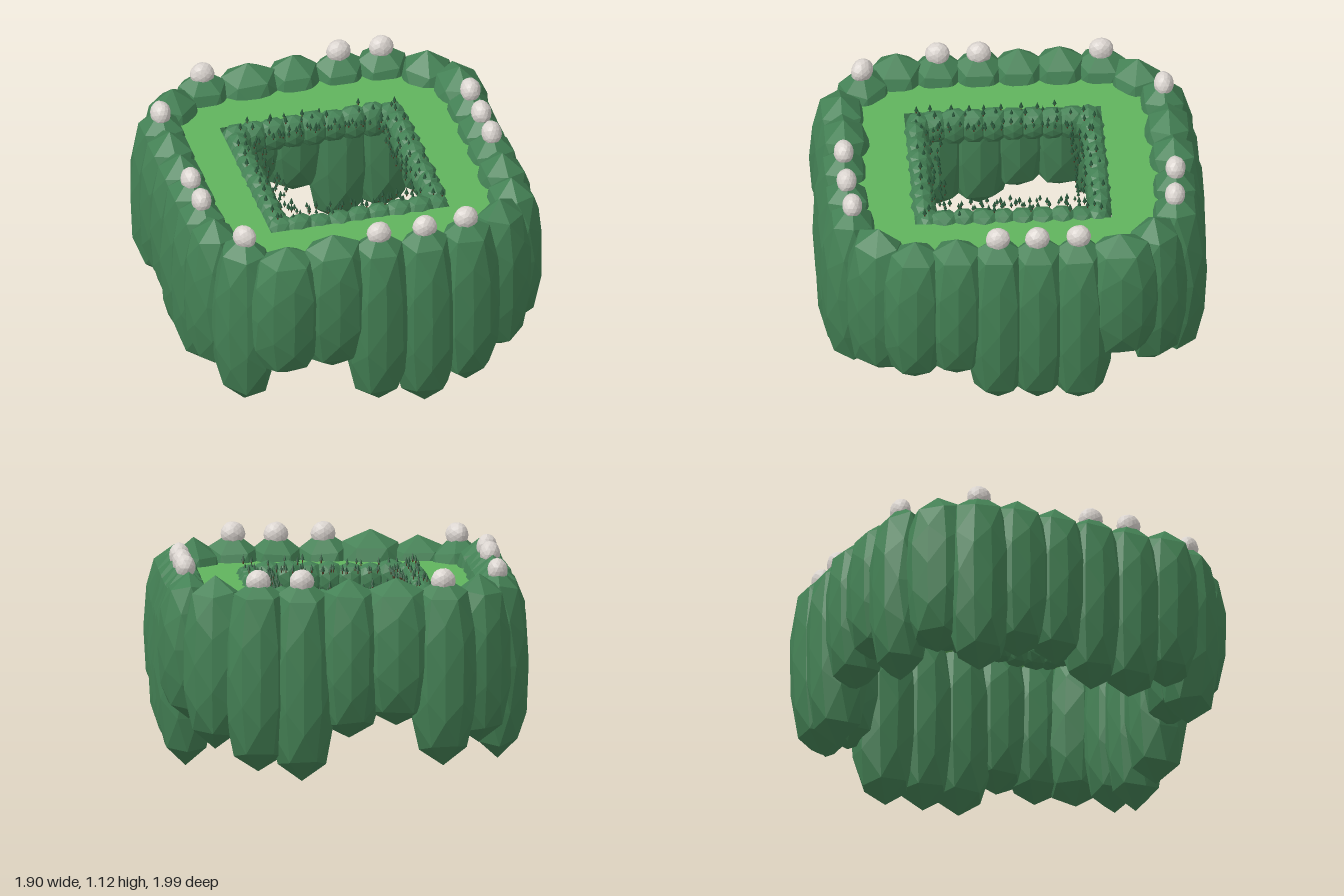
import * as THREE from 'three';
import { mergeGeometries } from 'three/addons/utils/BufferGeometryUtils.js';

let seed = 7;
const rand = () => {
  seed = (seed * 16807) % 2147483647;
  return seed / 2147483647;
};
const between = (a, b) => a + (b - a) * rand();

const mat = (name, color, extra = {}) => {
  const m = new THREE.MeshStandardMaterial({ color, flatShading: true, ...extra });
  m.name = name;
  return m;
};

// Faceted ellipsoid, roughened evenly across shared corners; fullness below 1 broadens its shoulders
function rock(rx, ry, rz, detail, rough, salt, fullness = 1) {
  const geo = new THREE.IcosahedronGeometry(1, detail);
  const p = geo.attributes.position;
  const v = new THREE.Vector3();
  for (let i = 0; i < p.count; i++) {
    v.fromBufferAttribute(p, i);
    const [a, b, c] = v.toArray().map((n) => Math.round(n * 100));
    const h = Math.sin(a * 12.99 + b * 78.23 + c * 37.72 + salt * 9.17) * 437.58;
    const flat = Math.hypot(v.x, v.z);
    const pull = 1 - rough * (h - Math.floor(h));
    const widen = flat > 0.01 ? pull * Math.pow(flat, fullness - 1) : 1;
    p.setXYZ(i, v.x * widen * rx, v.y * (flat > 0.01 ? pull : 1) * ry, v.z * widen * rz);
  }
  geo.computeVertexNormals();
  return geo;
}

export function createModel() {
  seed = 7;
  const group = new THREE.Group();
  const mountainGreen = mat('mountain green', 0x448155);
  const meadowGreen = mat('meadow green', 0x61b45d, { side: THREE.DoubleSide });
  const snowWhite = mat('snow white', 0xdad4cf);
  const treeGreen = mat('tree green', 0x29573a);
  const trunkBrown = mat('trunk brown', 0x4f3a26);

  const add = (name, geo, material, x = 0, y = 0, z = 0, yaw = 0) => {
    const m = new THREE.Mesh(geo, material);
    m.name = name;
    m.position.set(x, y, z);
    m.rotation.y = yaw;
    group.add(m);
  };

  // Outer mountains: x, z, lowest point, snow cap
  const mountains = [
    [-0.48, 0.82, 0.28, 0], [-0.24, 0.82, 0.28, 0], [0, 0.835, 0.05, 1], [0.24, 0.835, 0, 1], [0.46, 0.82, 0.08, 1],
    [0.67, 0.70, 0.18, 0],
    [0.78, 0.52, 0.20, 0], [0.79, 0.31, 0.22, 0], [0.79, 0.10, 0.06, 1], [0.79, -0.10, 0.05, 1],
    [0.79, -0.31, 0.04, 1], [0.79, -0.52, 0.31, 0],
    [0.67, -0.70, 0.18, 0],
    [0.46, -0.82, 0.08, 1], [0.24, -0.835, 0.03, 1], [0, -0.84, 0.25, 0], [-0.24, -0.83, 0.31, 0], [-0.48, -0.82, 0.1, 1],
    [-0.67, -0.70, 0.2, 0],
    [-0.78, -0.52, 0.09, 1], [-0.79, -0.31, 0.2, 0], [-0.79, -0.10, 0.2, 0], [-0.79, 0.10, 0.1, 1],
    [-0.79, 0.31, 0.1, 1], [-0.78, 0.52, 0.2, 0],
    [-0.67, 0.70, 0.08, 1],
  ];
  mountains.forEach(([x, z, low, snow], i) => {
    const corner = Math.abs(x) > 0.6 && Math.abs(z) > 0.6;
    const onSide = !corner && Math.abs(x) > 0.6;
    const yaw = corner ? Math.sign(x * z) * Math.PI / 4 : onSide ? Math.PI / 2 : 0;
    const top = snow ? 1.07 : between(1.04, 1.075);
    const along = low > 0.25 ? 0.21 : 0.185;
    add('mountain', rock(along, (top - low) / 2, 0.163, 1, 0.05, i, 0.6), mountainGreen,
      x, (top + low) / 2, z, yaw);
    if (snow) {
      add('snowCap', rock(0.065, 0.065, 0.053, 2, 0.06, i), snowWhite, x, between(1.045, 1.06), z, yaw);
    }
  });

  // Meadow with a rectangular opening
  const outline = [[0.8, 0.5], [0.69, 0.71], [0.48, 0.83]];
  const corners = [
    ...outline,
    ...outline.map(([x, z]) => [-x, z]).reverse(),
    ...outline.map(([x, z]) => [-x, -z]),
    ...outline.map(([x, z]) => [x, -z]).reverse(),
  ];
  const meadow = new THREE.Shape(corners.map(([x, z]) => new THREE.Vector2(x, z)));
  meadow.holes.push(new THREE.Path([[-0.475, -0.5], [-0.475, 0.5], [0.46, 0.5], [0.46, -0.5]]
    .map(([x, z]) => new THREE.Vector2(x, z))));
  add('meadow', new THREE.ShapeGeometry(meadow).rotateX(-Math.PI / 2), meadowGreen, 0, 0.92, 0);

  // Evenly spaced points around a rectangle
  const around = (hx, hz, nx, nz, place) => {
    for (const s of [-1, 1]) {
      for (let i = 0; i < nx; i++) place(-hx + (2 * hx * i) / (nx - 1), s * hz, 0);
      for (let i = 1; i < nz - 1; i++) place(s * hx, -hz + (2 * hz * i) / (nz - 1), Math.PI / 2);
    }
  };

  // Low hills rimming the opening, drawn in a little at its corners
  let salt = 40;
  around(0.42, 0.45, 9, 10, (x, z, yaw) => {
    const inset = Math.abs(x) > 0.41 && Math.abs(z) > 0.44 ? 0.96 : 1;
    add('hill', rock(between(0.08, 0.095), between(0.085, 0.105), between(0.066, 0.078), 1, 0.06, salt++, 0.8),
      mountainGreen, x * inset, 0.87, z * inset, yaw);
  });

  // Small trees scattered in rows over the hills
  const crowns = [], trunks = [];
  const plant = (x, y, z) => {
    const s = between(0.75, 1.15);
    trunks.push(new THREE.CylinderGeometry(0.003 * s, 0.003 * s, 0.016 * s, 5).translate(x, y, z));
    crowns.push(new THREE.ConeGeometry(0.0105 * s, 0.03 * s, 6).translate(x, y + 0.021 * s, z));
  };
  const rows = [[0.315, 0.345, 20, 22, 0.925], [0.35, 0.375, 15, 17, 0.925], [0.39, 0.415, 11, 12, 0.955],
    [0.43, 0.455, 10, 11, 0.96]];
  for (const [hx, hz, nx, nz, y] of rows) {
    around(hx, hz, nx, nz, (x, z) => {
      if (rand() < 0.8) plant(x + between(-0.015, 0.015), y + between(-0.01, 0.008), z + between(-0.015, 0.015));
    });
  }
  add('treeCrowns', mergeGeometries(crowns), treeGreen);
  add('treeTrunks', mergeGeometries(trunks), trunkBrown);

  return group;
}
